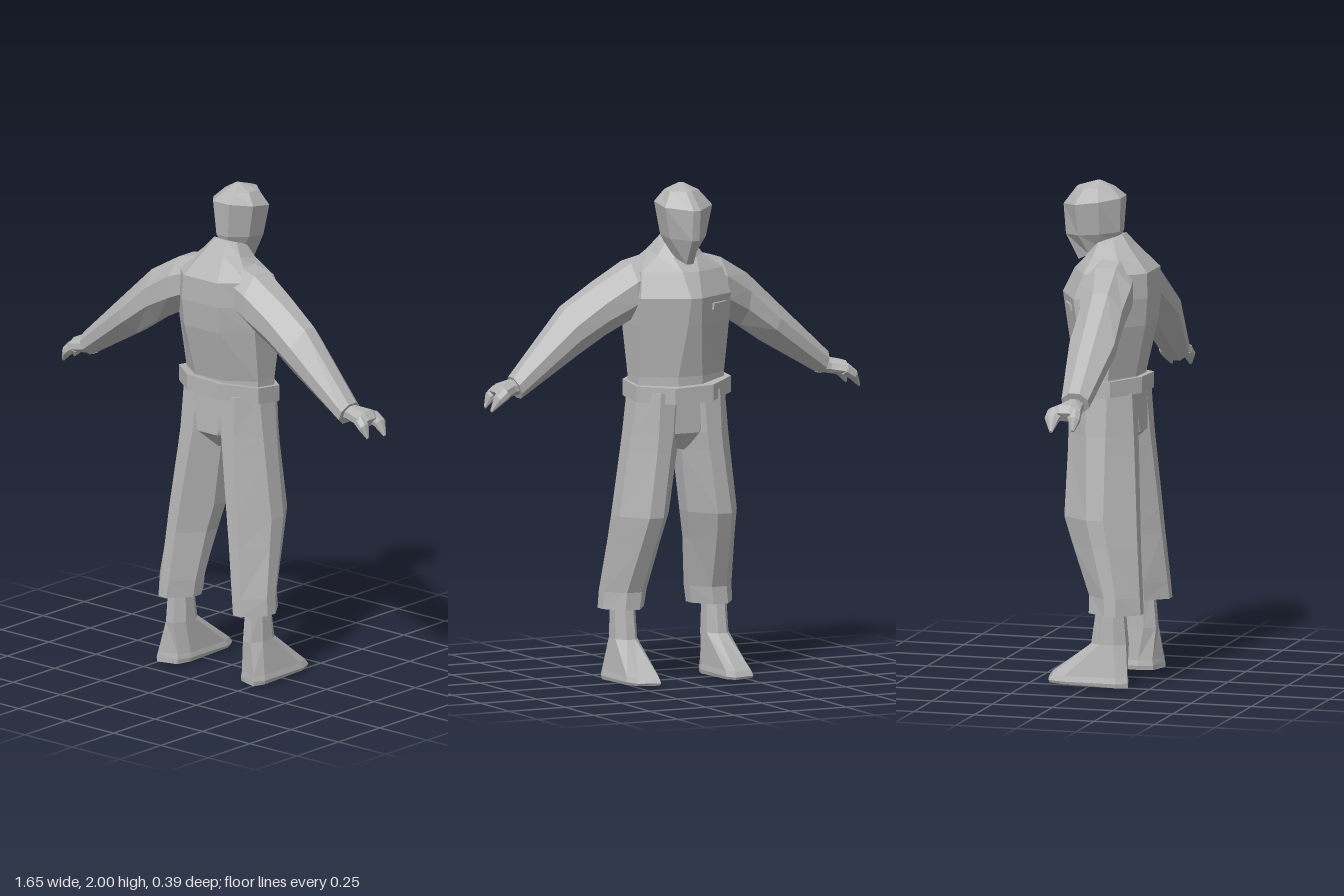
import * as THREE from 'three';

const V = (x, y, z) => new THREE.Vector3(x, y, z);

// Chamfered rectangle: centre c, half-axes u and v; k = flat share of the sides
// and the +v end, front = flat share of the -v end
function ring(c, u, v, k = 0.4, front = k) {
  const outline = [[1, -k], [1, k], [k, 1], [-k, 1], [-1, k], [-1, -k], [-front, -1], [front, -1]];
  return outline.map(([a, b]) => V(...c).addScaledVector(V(...u), a).addScaledVector(V(...v), b));
}

// Level ring from its x and z limits; lift raises the +z end, skew turns the sides
function level(y, x0, x1, z0, z1, { k = 0.4, front = k, lift = 0, skew = 0 } = {}) {
  return ring([(x0 + x1) / 2, y, (z0 + z1) / 2], [(x1 - x0) / 2, 0, skew], [0, lift, (z1 - z0) / 2], k, front);
}

// Faceted closed skin through a list of rings, wound outward; side -1 mirrors it
function loft(sections, side = 1) {
  const rings = sections.map((r) => r.map((p) => V(p.x * side, p.y, p.z)));
  const n = rings[0].length;
  const centre = (r) => r.reduce((s, p) => s.add(p), V(0, 0, 0)).divideScalar(n);
  const first = rings[0], last = rings[rings.length - 1];
  const c0 = centre(first), c1 = centre(last);
  const faces = [];
  for (let j = 0; j < n; j++) {
    const m = (j + 1) % n;
    for (let i = 0; i + 1 < rings.length; i++) {
      const a = rings[i][j], b = rings[i][m], c = rings[i + 1][m], d = rings[i + 1][j];
      faces.push([a, b, c], [a, c, d]);
    }
    faces.push([c0, first[m], first[j]], [c1, last[j], last[m]]);
  }
  // The sign of the enclosed volume tells which way the corners run
  const volume = faces.reduce((s, [a, b, c]) =>
    s + a.clone().sub(c0).dot(b.clone().sub(c0).cross(c.clone().sub(c0))), 0);
  const points = faces.flatMap(([a, b, c]) => (volume < 0 ? [a, c, b] : [a, b, c]));
  const geometry = new THREE.BufferGeometry().setFromPoints(points);
  geometry.computeVertexNormals();
  return geometry;
}

export function createModel() {
  const model = new THREE.Group();
  model.name = 'standingFigure';
  const grey = new THREE.MeshStandardMaterial({ color: 0xb4b4b4 });
  grey.name = 'plain grey';

  const add = (name, geometry, parent = model) => {
    const mesh = new THREE.Mesh(geometry, grey);
    mesh.name = name;
    parent.add(mesh);
    return mesh;
  };

  // Jacket body with a ridged chest, closing in to the collar
  const torso = add('jacket', loft([
    level(1.14, -0.19, 0.19, -0.12, 0.14, { k: 0.38, front: 0.28 }),
    level(1.23, -0.19, 0.19, -0.12, 0.14, { k: 0.38, front: 0.28 }),
    level(1.44, -0.2, 0.2, -0.16, 0.185, { k: 0.45, front: 0.15 }),
    level(1.55, -0.2, 0.2, -0.178, 0.195, { k: 0.48, front: 0.12 }),
    level(1.65, -0.18, 0.18, -0.125, 0.192, { k: 0.5, front: 0.2 }),
    level(1.72, -0.1, 0.1, -0.075, 0.11, { k: 0.5, lift: 0.02 }),
    level(1.77, -0.06, 0.06, -0.05, 0.07, { k: 0.5, lift: 0.02 }),
  ]));

  // Chest label laid on the jacket front
  const hit = new THREE.Raycaster(V(-0.125, 1.51, -1), V(0, 0, 1)).intersectObject(torso)[0];
  const label = add('chestLabel', new THREE.BoxGeometry(0.085, 0.026, 0.009));
  label.position.copy(hit.point).addScaledVector(hit.face.normal, 0.006);
  label.lookAt(label.position.clone().add(hit.face.normal));

  // Belt, dipping toward the front
  const beltRing = (y) => ring([-0.005, y, 0.012], [0.21, -0.008, 0], [0, 0.018, 0.158], 0.4);
  add('belt', loft([beltRing(1.145), beltRing(1.21)]));

  // Seat of the trousers, narrowing to the crotch
  add('seat', loft([
    level(1.17, -0.17, 0.17, -0.1, 0.142, { k: 0.5 }),
    level(1.0, -0.11, 0.11, -0.1, 0.15, { k: 0.45 }),
    level(0.93, -0.012, 0.012, -0.06, 0.08),
  ]));

  // Head, ridged at the face, chin low at the front and crown set slightly back
  add('head', loft([
    level(1.72, -0.045, 0.045, -0.115, 0.045, { k: 0.35, lift: 0.04 }),
    level(1.79, -0.08, 0.08, -0.168, 0.06, { k: 0.38, front: 0.2, lift: 0.01 }),
    level(1.92, -0.105, 0.105, -0.178, 0.067, { k: 0.4, front: 0.15, lift: 0.018 }),
    level(1.974, -0.055, 0.07, -0.125, 0.022, { k: 0.4, front: 0.2 }),
    level(2.0, -0.01, 0.01, -0.045, -0.025),
  ]));

  for (const side of [1, -1]) {
    const group = new THREE.Group();
    group.name = side > 0 ? 'leftLimbs' : 'rightLimbs';
    model.add(group);
    // The right limbs are held slightly closer and lower
    const near = side > 0 ? 0 : 1;
    const hem = 0.01 * near;

    // Loose trouser leg with a bent knee and a crease down the back
    add('trouserLeg', loft([
      level(1.17, 0, 0.195, -0.12, 0.142, { k: 0.35 }),
      level(1.0, 0, 0.215, -0.12, 0.152, { k: 0.3 }),
      level(0.93, 0.008, 0.225, -0.12, 0.157, { k: 0.28 }),
      level(0.67, 0.042, 0.262, -0.124, 0.175, { k: 0.24, front: 0.28 }),
      level(0.56, 0.065, 0.27 - hem / 2, -0.085, 0.182, { k: 0.24, front: 0.3 }),
      level(0.36, 0.1 - hem, 0.288 - hem, -0.01, 0.197, { k: 0.24, front: 0.35 }),
      level(0.29, 0.11 - hem, 0.293 - hem, -0.01, 0.202, { k: 0.22, front: 0.35 }),
    ], side), group);

    // Boot with a long wedge toe
    const toe = { k: 0.68, skew: 0.018 };
    add('boot', loft([
      level(0.34, 0.16, 0.247, 0.025, 0.13),
      level(0.17, 0.155, 0.252, 0, 0.145),
      level(0.04, 0.15, 0.272, -0.165, 0.147, toe),
      level(0.018, 0.146, 0.278, -0.18, 0.15, toe),
      level(0.004, 0.15, 0.274, -0.175, 0.15, { ...toe, lift: -0.004 }),
    ], side), group);

    // Sleeve from shoulder to cuff
    add('sleeve', loft([
      ring([0.09, 1.61, 0.05], [0, 0.1, 0], [0, 0, 0.09]),
      ring([0.2, 1.568, 0.052], [0, 0.113, 0], [0, 0, 0.108]),
      ring([0.32, 1.5, 0.062 + 0.01 * near], [0.015, 0.103, 0], [0, 0, 0.098 - 0.01 * near], 0.35),
      ring([0.445, 1.418 - 0.02 * near, 0.073], [0.028, 0.095 - 0.018 * near, 0], [0, 0, 0.093], 0.3),
      ring([0.685, 1.205 + 0.015 * near, 0.075], [0.017, 0.043, 0], [0, 0, 0.055]),
    ], side), group);

    // Palm, flaring toward the knuckles
    add('palm', loft([
      ring([0.67, 1.21, 0.073], [0.012, 0.03, 0], [0, 0, 0.035]),
      ring([0.705, 1.207, 0.07], [0.01, 0.03, 0], [0, 0, 0.04]),
      ring([0.755, 1.198, 0.055], [0.012, 0.028, 0], [0, 0, 0.065]),
      ring([0.78, 1.18, 0.06], [0.012, 0.018, 0], [0, 0, 0.05]),
    ], side), group);

    // Broad pointed finger groups: root, middle, tip, root half-width
    const digits = [
      [[0.755, 1.195, 0.02], [0.79, 1.17, 0.01], [0.82, 1.125, 0.015], 0.036],
      [[0.755, 1.195, 0.09], [0.785, 1.17, 0.1], [0.805, 1.13, 0.1], 0.03],
    ];
    for (const [root, middle, tip, width] of digits) {
      add('fingers', loft([
        ring(root, [0.012, 0.022, 0], [0, 0, width]),
        ring(middle, [0.012, 0.016, 0], [0, 0, width * 0.8]),
        ring(tip, [0.003, 0.004, 0], [0, 0, 0.006]),
      ], side), group);
    }
  }
  return model;
}
